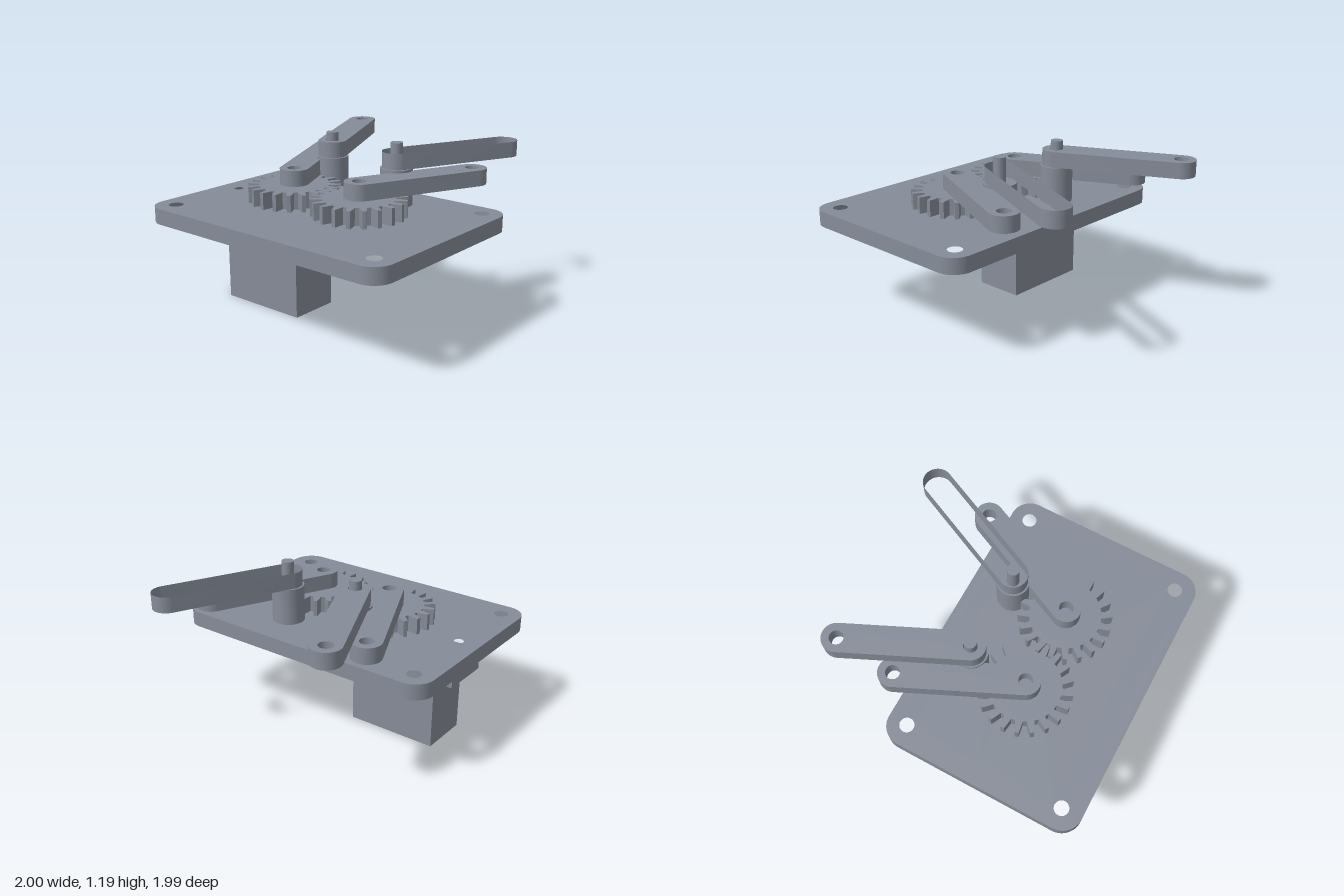
import * as THREE from 'three';
import { toCreasedNormals } from 'three/addons/utils/BufferGeometryUtils.js';

const grey = new THREE.MeshStandardMaterial({ color: 0x868c98, side: THREE.DoubleSide });
grey.name = 'plain grey';

const GEAR_X = 0.285, GEAR_Z = 0.28, POST_Z = -0.12;

function add(parent, name, geometry, x = 0, y = 0, z = 0) {
  const mesh = new THREE.Mesh(geometry, grey);
  mesh.name = name;
  mesh.position.set(x, y, z);
  parent.add(mesh);
  return mesh;
}

// Shapes are drawn in (x, -z) and laid flat so that they rise along y
function slab(shape, height) {
  const g = new THREE.ExtrudeGeometry(shape, { depth: height, bevelEnabled: false, curveSegments: 20 });
  return toCreasedNormals(g.rotateX(-Math.PI / 2), 0.5);
}

// Upright wall round an outline, without top or bottom
function wall(shape, height) {
  const pts = shape.getPoints(20), pos = [];
  pts.forEach((a, i) => {
    const b = pts[(i + 1) % pts.length];
    if (a.distanceTo(b) < 1e-6) return;
    pos.push(a.x, 0, -a.y, b.x, 0, -b.y, b.x, height, -b.y);
    pos.push(a.x, 0, -a.y, b.x, height, -b.y, a.x, height, -a.y);
  });
  const g = new THREE.BufferGeometry();
  g.setAttribute('position', new THREE.Float32BufferAttribute(pos, 3));
  return toCreasedNormals(g, 0.5);
}

function punch(shape, x, z, r) {
  const hole = new THREE.Path();
  hole.absarc(x, -z, r, 0, Math.PI * 2, true);
  shape.holes.push(hole);
}

function roundedRect(x0, x1, z0, z1, r) {
  const s = new THREE.Shape();
  s.absarc(x1 - r, -z0 - r, r, 0, Math.PI / 2);
  s.absarc(x0 + r, -z0 - r, r, Math.PI / 2, Math.PI);
  s.absarc(x0 + r, -z1 + r, r, Math.PI, Math.PI * 1.5);
  s.absarc(x1 - r, -z1 + r, r, Math.PI * 1.5, Math.PI * 2);
  s.closePath();
  return s;
}

// Round-ended link from its pivot to a tip behind and to one side
function armShape(side) {
  const dx = side * 0.36, dy = 0.78, r = 0.1, a = Math.atan2(dy, dx);
  const s = new THREE.Shape();
  s.absarc(dx, dy, r, a - Math.PI / 2, a + Math.PI / 2);
  s.absarc(0, 0, r, a + Math.PI / 2, a + Math.PI * 1.5);
  s.closePath();
  return s;
}

function arm(side) {
  const s = armShape(side);
  punch(s, 0, 0, 0.048);
  punch(s, side * 0.36, -0.78, 0.048);
  return slab(s, 0.11);
}

// Spur gear with straight tapered teeth
function gear(teeth, phase) {
  const s = new THREE.Shape(), step = Math.PI * 2 / teeth;
  const profile = [[-0.32, 0.243], [-0.24, 0.275], [-0.13, 0.32], [0.13, 0.32], [0.24, 0.275], [0.32, 0.243]];
  for (let i = 0; i < teeth; i++) {
    profile.forEach(([f, r], j) => {
      const a = (i + phase + f) * step;
      s[i + j ? 'lineTo' : 'moveTo'](r * Math.cos(a), r * Math.sin(a));
    });
  }
  s.closePath();
  const g = new THREE.ExtrudeGeometry(s, { depth: 0.115, bevelEnabled: false });
  return g.rotateX(-Math.PI / 2);
}

export function createModel() {
  const model = new THREE.Group();
  model.name = 'gearedGripper';

  // Base plate: pierced top sheet with a skirt, open underneath
  const plate = new THREE.Group();
  plate.name = 'basePlate';
  model.add(plate);
  const top = roundedRect(-1, 1, -0.43, 0.995, 0.14);
  add(plate, 'plateSkirt', wall(top, 0.11), 0, 0.65, 0);
  for (const x of [-0.86, 0.86]) for (const z of [-0.295, 0.85]) punch(top, x, z, 0.05);
  for (const x of [-GEAR_X, GEAR_X]) punch(top, x, POST_Z, 0.108);
  punch(top, -GEAR_X, GEAR_Z, 0.1);
  for (const x of [-0.845, -0.04]) punch(top, x, 0.28, 0.033);
  add(plate, 'plateTop', new THREE.ShapeGeometry(top, 20).rotateX(-Math.PI / 2), 0, 0.76, 0);

  // Motor hanging below the plate
  const motor = new THREE.Group();
  motor.name = 'servoMotor';
  model.add(motor);
  add(motor, 'motorBody', new THREE.BoxGeometry(0.66, 0.648, 0.36), -0.445, 0.324, 0.285);
  for (const x of [-0.8425, -0.0475]) {
    add(motor, 'motorFlange', new THREE.BoxGeometry(0.135, 0.073, 0.36), x, 0.5375, 0.285);
  }

  // Gears, lower links, hollow posts and upper links on both sides
  for (const side of [-1, 1]) {
    const label = side < 0 ? 'right' : 'left';
    const x = side * GEAR_X;
    add(model, label + 'Gear', gear(20, side < 0 ? 0 : 0.5), x, 0.775, GEAR_Z);
    add(model, label + 'LowerArm', arm(side), x, 0.891, GEAR_Z);

    const post = [[0.112, 0.76], [0.112, 1.018], [0.042, 1.018], [0.042, 1.19], [0, 1.19]]
      .map(([r, y]) => new THREE.Vector2(r, y));
    add(model, label + 'Post', toCreasedNormals(new THREE.LatheGeometry(post, 40), 0.5), x, 0, POST_Z);

    // The left upper link is an open band
    add(model, label + 'UpperArm', side < 0 ? arm(side) : wall(armShape(side), 0.11), x, 1.02, POST_Z);
  }
  return model;
}
